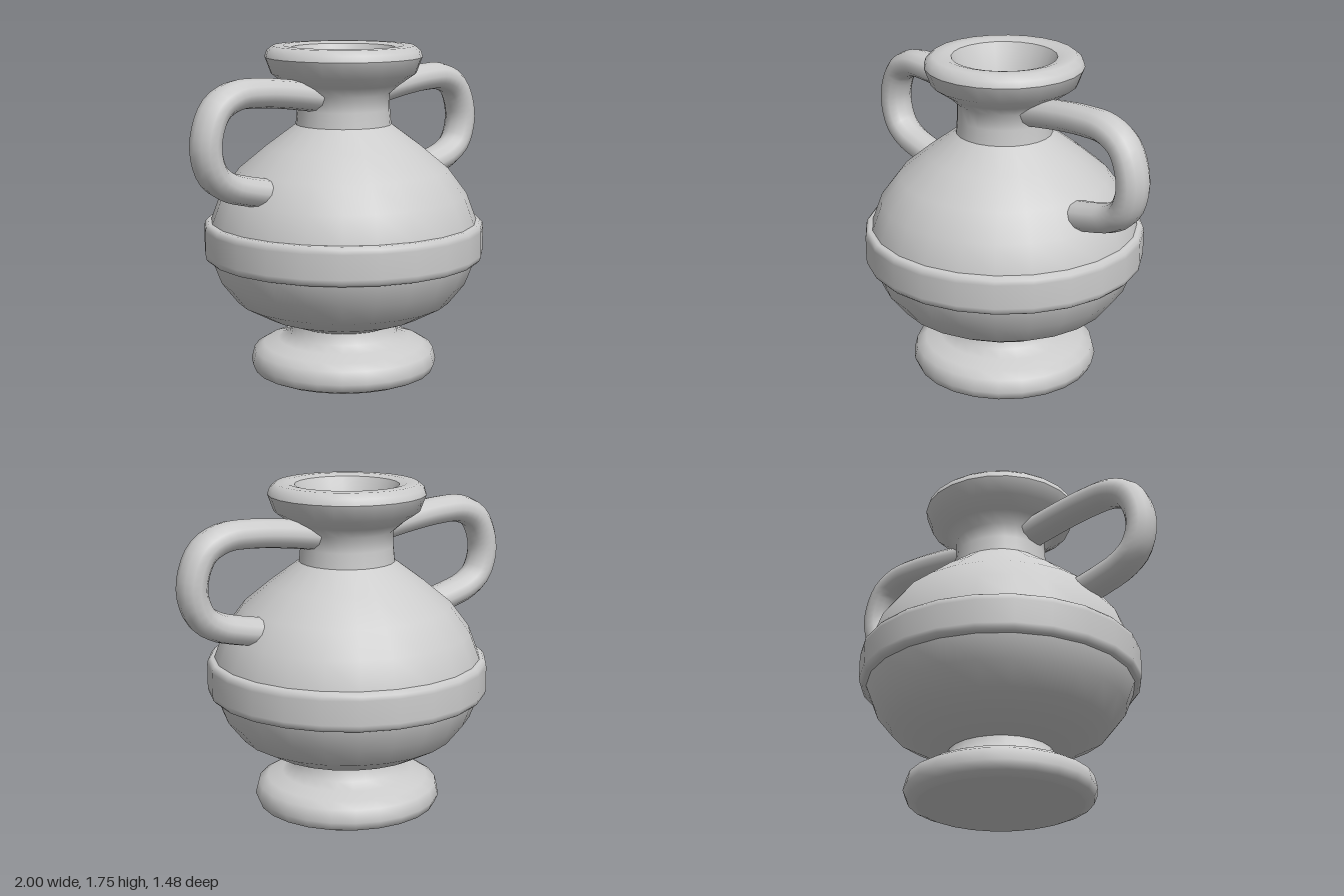
import * as THREE from 'three';

const material = new THREE.MeshStandardMaterial({ color: 0xcccccc });

// Turned part: each profile runs upward on the outside and is smooth in itself
function turned(name, points) {
  const profile = points.map(([r, y]) => new THREE.Vector2(r, y));
  const mesh = new THREE.Mesh(new THREE.LatheGeometry(profile, 24), material);
  mesh.name = name;
  return mesh;
}

// Handle: a tube a little wider than it is thick, ending inside neck and belly
function handle(name, side) {
  const path = new THREE.CatmullRomCurve3([
    [0.19, 1.49], [0.42, 1.525], [0.6, 1.542], [0.75, 1.537], [0.865, 1.475],
    [0.925, 1.31], [0.885, 1.165], [0.8, 1.1], [0.69, 1.065], [0.5, 1.025],
  ].map(([x, y]) => new THREE.Vector3(x * side, y, 0)));
  const geometry = new THREE.TubeGeometry(path, 36, 0.075, 12);
  geometry.scale(1, 1, 1.22);
  geometry.computeVertexNormals();
  // Weld the shading across the tube's lengthwise seam
  const n = geometry.attributes.normal;
  for (let i = 0; i <= 36; i++) {
    const a = i * 13, b = a + 12;
    const v = new THREE.Vector3().fromBufferAttribute(n, a)
      .add(new THREE.Vector3().fromBufferAttribute(n, b)).normalize();
    n.setXYZ(a, v.x, v.y, v.z);
    n.setXYZ(b, v.x, v.y, v.z);
  }
  const mesh = new THREE.Mesh(geometry, material);
  mesh.name = name;
  return mesh;
}

export function createModel() {
  const urn = new THREE.Group();
  urn.name = 'urn';

  // Foot
  urn.add(turned('footUnderside', [[0, 0], [0.43, 0]]));
  urn.add(turned('foot', [
    [0.43, 0], [0.477, 0.02], [0.496, 0.065], [0.48, 0.13], [0.43, 0.16],
    [0.35, 0.185], [0.287, 0.213], [0.273, 0.285],
  ]));

  // Belly
  urn.add(turned('belly', [
    [0.2, 0.27], [0.273, 0.272], [0.43, 0.329], [0.57, 0.405], [0.657, 0.515],
    [0.703, 0.635], [0.715, 0.73], [0.703, 0.83], [0.65, 0.972], [0.55, 1.105],
    [0.405, 1.225], [0.25, 1.34],
  ]));

  // Raised band around the widest part
  urn.add(turned('band', [
    [0.69, 0.632], [0.722, 0.633], [0.736, 0.648], [0.74, 0.67],
    [0.74, 0.795], [0.736, 0.817], [0.722, 0.832], [0.69, 0.833],
  ]));

  // Neck flaring into the rim
  urn.add(turned('neck', [
    [0.252, 1.335], [0.244, 1.42], [0.243, 1.5], [0.3, 1.55], [0.38, 1.605], [0.412, 1.69],
  ]));
  urn.add(turned('rim', [
    [0.412, 1.69], [0.402, 1.722], [0.37, 1.748], [0.315, 1.75], [0.272, 1.738],
  ]));

  // Shallow mouth
  urn.add(turned('mouthWall', [[0.272, 1.738], [0.25, 1.69], [0.225, 1.63], [0.208, 1.58]]));
  urn.add(turned('mouthFloor', [[0.208, 1.58], [0, 1.58]]));

  // Handles
  urn.add(handle('leftHandle', 1), handle('rightHandle', -1));
  return urn;
}
